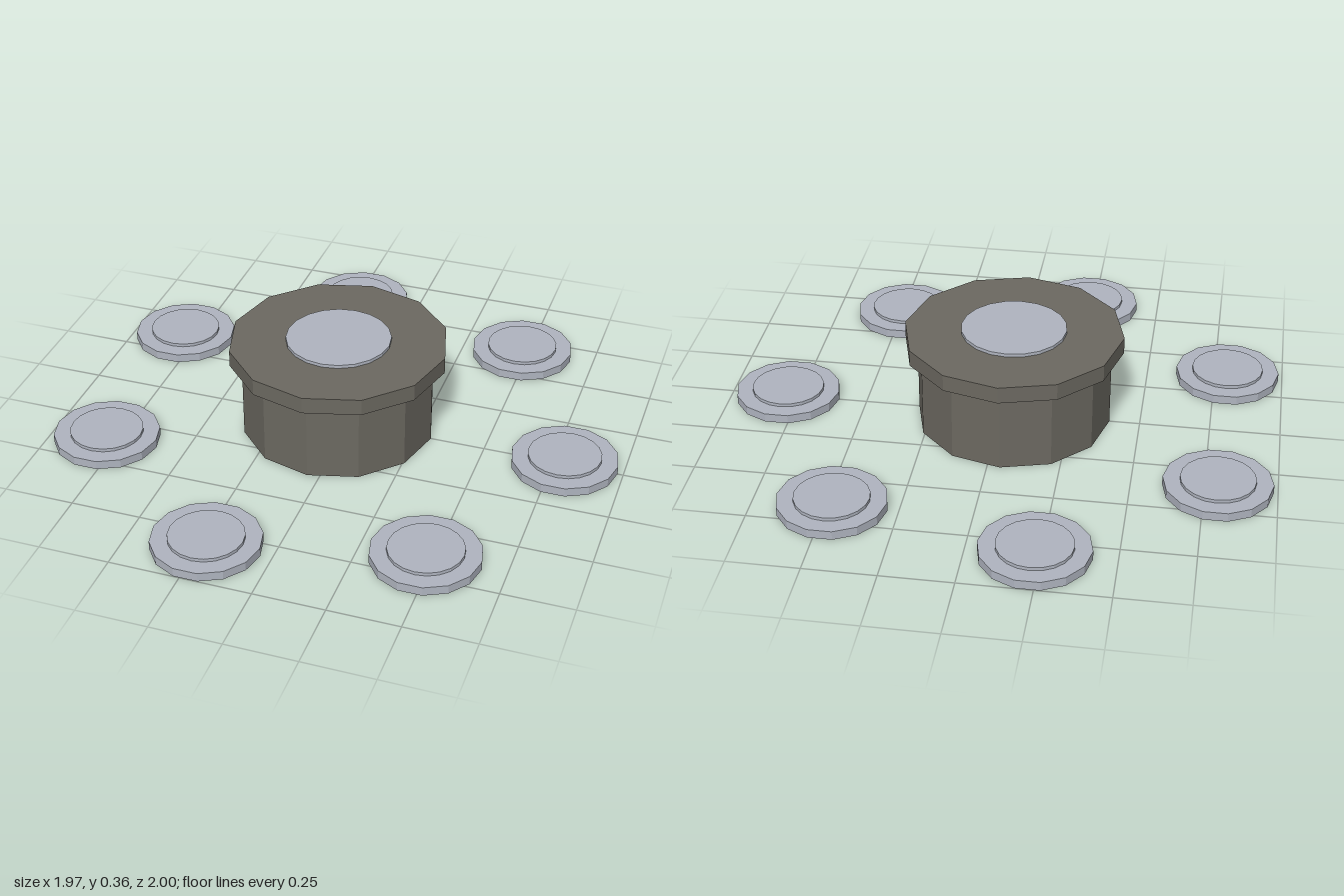
import * as THREE from 'three';

export function createModel() {
  const model = new THREE.Group();
  model.name = 'tableWithSeats';
  const mat = (name, color) => {
    const m = new THREE.MeshStandardMaterial({ color, flatShading: true, side: THREE.DoubleSide });
    m.name = name;
    return m;
  };
  const stone = mat('warm grey stone', 0x6c6961);
  const pale = mat('pale blue grey', 0xb0b5c0);

  // Upright prism from y0 to y1 with corners on the x axis
  const drum = (parent, name, material, r, y0, y1, sides, open = false) => {
    const geo = new THREE.CylinderGeometry(r, r, y1 - y0, sides, 1, open);
    geo.rotateY(Math.PI / 2);
    geo.translate(0, (y0 + y1) / 2, 0);
    const mesh = new THREE.Mesh(geo, material);
    mesh.name = name;
    parent.add(mesh);
  };

  const centreX = -0.044;

  // Central pedestal: hollow body, wide slab and inset plate
  const pedestal = new THREE.Group();
  pedestal.name = 'pedestal';
  pedestal.position.x = centreX;
  drum(pedestal, 'body', stone, 0.347, 0, 0.29, 12, true);
  drum(pedestal, 'topSlab', stone, 0.39, 0.29, 0.35, 12);
  drum(pedestal, 'topPlate', pale, 0.187, 0.35, 0.362, 20);
  model.add(pedestal);

  // Ring of seven stepped discs, hollow underneath
  const count = 7, ringRadius = 0.835;
  for (let i = 0; i < count; i++) {
    const a = (i / count) * Math.PI * 2;
    const pad = new THREE.Group();
    pad.name = 'pad' + (i + 1);
    pad.position.set(centreX + ringRadius * Math.cos(a), 0, ringRadius * Math.sin(a));
    drum(pad, 'padRim', pale, 0.189, 0, 0.032, 14, true);

    const cover = new THREE.CircleGeometry(0.189, 14);
    cover.rotateX(-Math.PI / 2);
    cover.translate(0, 0.032, 0);
    const coverMesh = new THREE.Mesh(cover, pale);
    coverMesh.name = 'padCover';
    pad.add(coverMesh);

    drum(pad, 'padStep', pale, 0.13, 0.032, 0.044, 20);
    model.add(pad);
  }
  return model;
}
